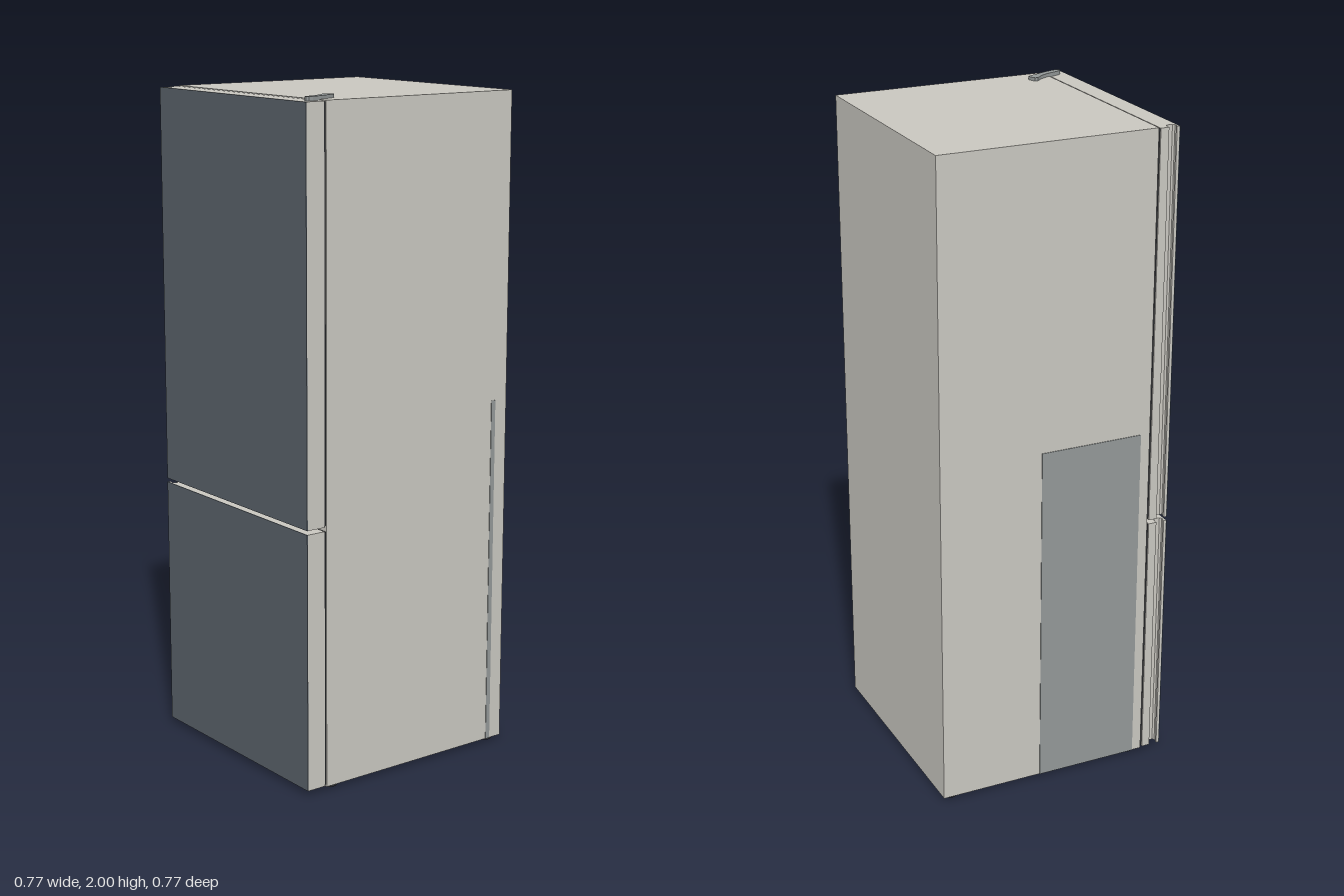
import * as THREE from 'three';

const mat = (name, color) => new THREE.MeshStandardMaterial({ name, color });

export function createModel() {
  const shell = mat('warm light grey', 0xc8c6bf);
  const slate = mat('slate front', 0x575f67);
  const grey = mat('mid grey', 0x929797);
  const dark = mat('dark rubber', 0x2c2e31);

  const model = new THREE.Group();
  const fridge = new THREE.Group();
  fridge.name = 'fridge';
  fridge.rotation.y = -0.0525; // stands slightly turned
  model.add(fridge);

  const add = (name, geo, material, parent = fridge) => {
    const m = new THREE.Mesh(geo, material);
    m.name = name;
    parent.add(m);
    return m;
  };
  // box given by its limits
  const box = (name, material, x0, x1, y0, y1, z0, z1) => {
    const g = new THREE.BoxGeometry(x1 - x0, y1 - y0, z1 - z0);
    g.translate((x0 + x1) / 2, (y0 + y1) / 2, (z0 + z1) / 2);
    return add(name, g, material);
  };
  // plan outline in (x, z), raised from y0 to y1
  const raise = (pts, y0, y1) => {
    const shape = new THREE.Shape(pts.map(([x, z]) => new THREE.Vector2(x, -z)));
    const g = new THREE.ExtrudeGeometry(shape, { depth: y1 - y0, bevelEnabled: false });
    return g.rotateX(-Math.PI / 2).translate(0, y0, 0);
  };

  // cabinet and its underside
  box('cabinet', shell, -0.365, 0.363, 0.012, 1.99, -0.368, 0.3);
  box('basePanel', grey, -0.35, 0.348, 0.009, 0.013, -0.335, 0.285);
  const arc = new THREE.RingGeometry(0.132, 0.145, 32, 1, 0, Math.PI);
  arc.rotateX(Math.PI / 2).rotateY(Math.PI).translate(-0.015, 0.008, 0.01);
  add('baseArc', arc, shell);

  // inset panels showing on the sides
  box('leftSidePanel', grey, -0.367, -0.364, 0.012, 1.08, -0.05, 0.27);
  box('rightSideStrip', grey, 0.362, 0.3645, 0.012, 1.08, -0.325, -0.31);

  // doors with a grip channel along the opening edge
  const doorPlan = [
    [-0.365, 0.306], [0.362, 0.306], [0.362, 0.365], [-0.365, 0.365],
    [-0.365, 0.357], [-0.358, 0.357], [-0.355, 0.36], [-0.347, 0.36],
    [-0.342, 0.355], [-0.341, 0.341], [-0.344, 0.335], [-0.35, 0.332], [-0.365, 0.332],
  ];
  for (const [name, y0, y1] of [['lower', 0.015, 0.785], ['upper', 0.797, 1.988]]) {
    add(name + 'Door', raise(doorPlan, y0, y1), shell);
    box(name + 'DoorFront', slate, -0.365, 0.362, y0, y1, 0.3645, 0.367);
    box(name + 'DoorSeal', dark, -0.361, 0.36, y0 + 0.004, y1 - 0.002, 0.3, 0.306);
  }

  // feet
  for (const [x, z] of [[-0.335, -0.335], [0.333, -0.335], [-0.335, 0.265], [0.333, 0.265]]) {
    add('foot', new THREE.CylinderGeometry(0.018, 0.018, 0.014, 16).translate(x, 0.007, z), dark);
  }
  box('plinth', grey, -0.34, 0.34, 0.004, 0.012, 0.27, 0.296);

  // top hinge cover
  const hinge = [
    [0.256, 0.255], [0.259, 0.248], [0.268, 0.243], [0.28, 0.24], [0.287, 0.241],
    [0.292, 0.25], [0.314, 0.31], [0.324, 0.345], [0.323, 0.359], [0.317, 0.364],
    [0.31, 0.363], [0.304, 0.353], [0.288, 0.302], [0.277, 0.28],
  ];
  add('hingeCover', raise(hinge, 1.987, 2.0), grey, model);

  return model;
}
